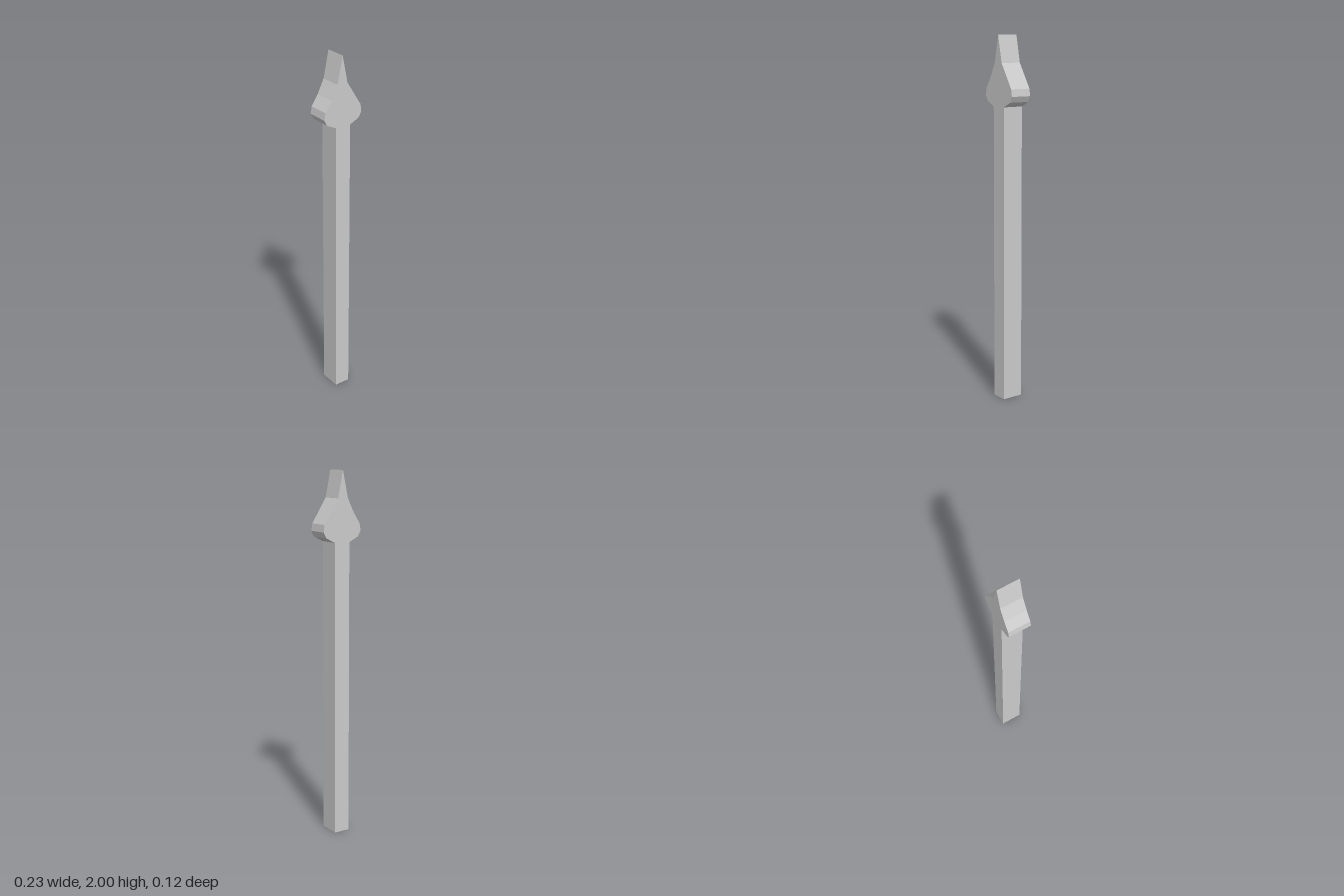
import * as THREE from 'three';

const DEPTH = 0.12;

// Right-hand edge from foot to tip, then left-hand edge back down
const outline = [
  [0.045, 0], [0.045, 1.625], // shaft
  [0.1, 1.652], [0.116, 1.683], [0.11, 1.722], [0.07, 1.785], [0.026, 1.855], // flared head
  [-0.004, 2], // tip
  [-0.035, 1.855], [-0.072, 1.78], [-0.11, 1.722], [-0.117, 1.683], [-0.1, 1.652], // flared head
  [-0.045, 1.625], [-0.045, 0], // shaft
];

export function createModel() {
  const group = new THREE.Group();
  group.name = 'fencePicket';

  // Flat spear-headed picket cut from one slab
  const shape = new THREE.Shape(outline.map(([x, y]) => new THREE.Vector2(x, y)));
  const geometry = new THREE.ExtrudeGeometry(shape, { depth: DEPTH, bevelEnabled: false });
  geometry.translate(0, 0, -DEPTH / 2);

  const material = new THREE.MeshStandardMaterial({ color: 0xcccccc, flatShading: true });
  const picket = new THREE.Mesh(geometry, material);
  picket.name = 'spearHeadedPost';
  group.add(picket);
  return group;
}
